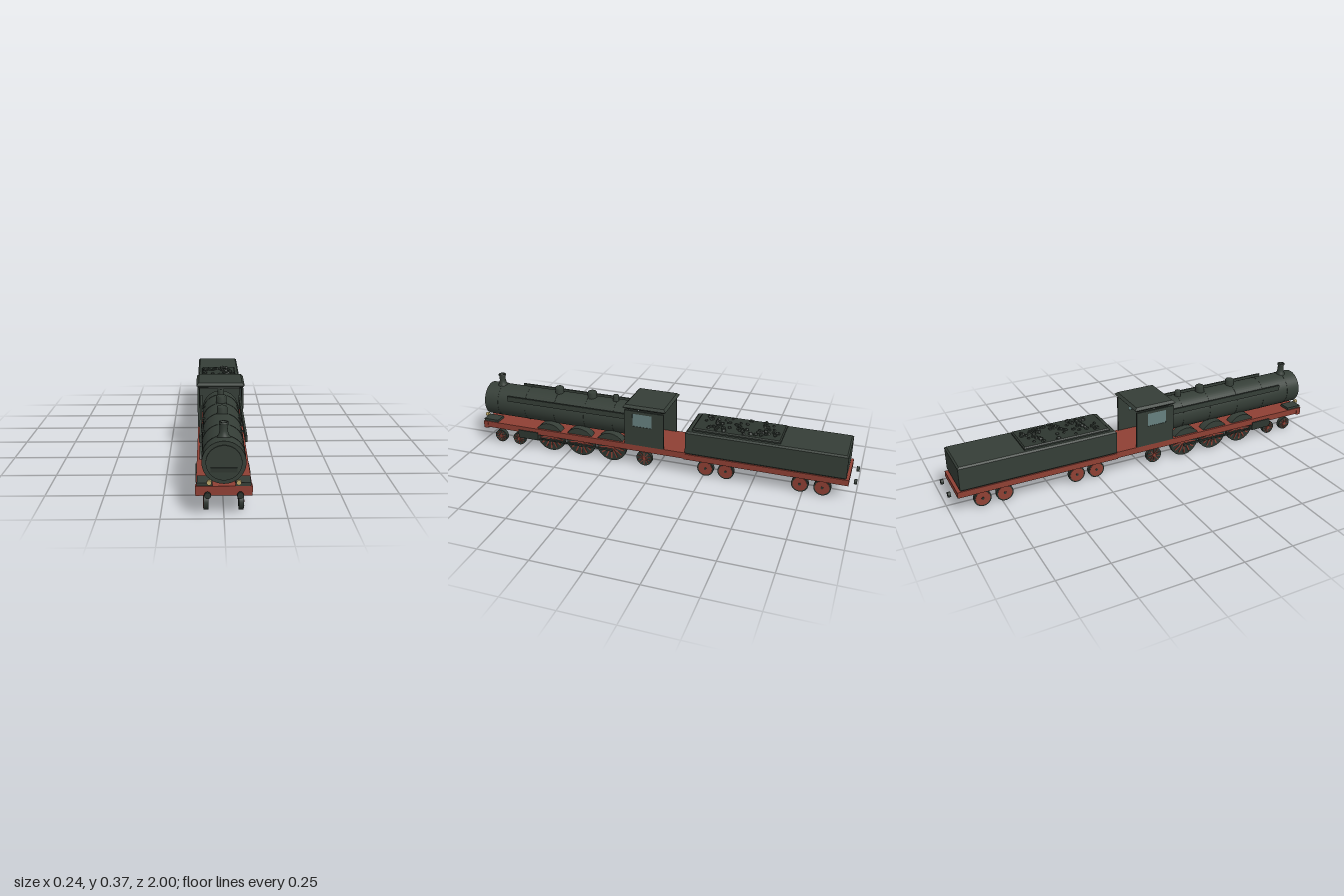
import * as THREE from 'three';

const mat = (name, color) => {
  const m = new THREE.MeshStandardMaterial({ color });
  m.name = name;
  return m;
};

export function createModel() {
  const root = new THREE.Group();
  root.name = 'steamLocomotive';
  const dark = mat('dark green paint', 0x353e37);
  const black = mat('dark iron', 0x2e3630);
  const red = mat('frame red', 0x8f4034);
  const glass = mat('window glass', 0x66807f);
  const brass = mat('brass lamp', 0xb9a468);

  const add = (name, geo, m, x = 0, y = 0, z = 0, parent = root) => {
    const mesh = new THREE.Mesh(geo, m);
    mesh.name = name;
    mesh.position.set(x, y, z);
    parent.add(mesh);
    return mesh;
  };
  // box given by its limits
  const box = (name, m, x0, x1, y0, y1, z0, z1, parent) =>
    add(name, new THREE.BoxGeometry(x1 - x0, y1 - y0, z1 - z0), m,
      (x0 + x1) / 2, (y0 + y1) / 2, (z0 + z1) / 2, parent);
  const cylZ = (r, len, seg = 40) => new THREE.CylinderGeometry(r, r, len, seg).rotateX(Math.PI / 2);
  const cylX = (r, len, seg = 36) => new THREE.CylinderGeometry(r, r, len, seg).rotateZ(Math.PI / 2);
  // box with chamfered edges all round
  const bevelBox = (w, h, d, b) => {
    const s = new THREE.Shape();
    const x = w / 2 - b, z = d / 2 - b;
    s.moveTo(-x, -z).lineTo(x, -z).lineTo(x, z).lineTo(-x, z).closePath();
    return new THREE.ExtrudeGeometry(s, { depth: h - 2 * b, bevelSize: b, bevelThickness: b, bevelSegments: 1 })
      .translate(0, 0, -(h - 2 * b) / 2).rotateX(Math.PI / 2);
  };

  // frames and front beam
  box('locomotiveFrame', red, -0.11, 0.11, 0.097, 0.13, -0.17, 0.975);
  box('frontBeam', red, -0.112, 0.112, 0.091, 0.13, 0.955, 0.98);
  box('tenderFrame', red, -0.112, 0.112, 0.094, 0.124, -0.965, -0.155);

  // boiler, smokebox door and bands
  const by = 0.225;
  add('boiler', cylZ(0.087, 0.815, 48), dark, 0, by, 0.5675);
  add('smokeboxDoor', cylZ(0.071, 0.006, 48), dark, 0, by, 0.977);
  box('doorPlate', black, -0.052, 0.052, 0.188, 0.207, 0.978, 0.984);
  for (const z of [0.24, 0.4, 0.57, 0.74, 0.9]) add('boilerBand', cylZ(0.0882, 0.006, 48), dark, 0, by, z);

  // chimney and domes
  const chimney = [[0.03, 0.295], [0.027, 0.308], [0.02, 0.318], [0.016, 0.335], [0.0155, 0.361],
    [0.019, 0.362], [0.019, 0.37], [0.013, 0.37], [0.012, 0.345], [0, 0.345]];
  add('chimney', new THREE.LatheGeometry(chimney.map(p => new THREE.Vector2(...p)), 28), dark, 0, 0, 0.905)
    .material.side = THREE.DoubleSide;
  for (const [z, r, top] of [[0.567, 0.023, 0.343], [0.38, 0.024, 0.343], [0.247, 0.016, 0.341]]) {
    const p = [[r * 1.1, 0.295], [r, 0.313], [r, top - 0.005], [r * 0.85, top], [0, top]];
    add('steamDome', new THREE.LatheGeometry(p.map(q => new THREE.Vector2(...q)), 24), dark, 0, 0, z);
  }

  // wheel lying on the x axis, outer face towards +x
  const wheel = (name, r, spokes, solidRed) => {
    const g = new THREE.Group();
    g.name = name;
    add('wheelBody', cylX(r, 0.02), black, 0, 0, 0, g);
    if (solidRed) {
      add('wheelFace', cylX(r * 0.84, 0.023), red, 0, 0, 0, g);
      add('hub', cylX(r * 0.16, 0.027, 16), black, 0, 0, 0, g);
    } else {
      for (let i = 0; i < spokes; i++) {
        const s = add('spoke', new THREE.BoxGeometry(0.003, r * 0.8, r * 0.09).translate(0, r * 0.45, 0), red, 0.0105, 0, 0, g);
        s.rotation.x = (i / spokes) * Math.PI * 2;
      }
      add('hub', cylX(r * 0.2, 0.004, 20), red, 0.011, 0, 0, g);
    }
    return g;
  };

  const wheels = [['leadingWheel', 0.9, 0.035, 10], ['leadingWheel', 0.79, 0.035, 10],
    ['drivingWheel', 0.595, 0.082, 14], ['drivingWheel', 0.42, 0.082, 14], ['drivingWheel', 0.247, 0.082, 14],
    ['trailingWheel', 0.067, 0.042, 10],
    ...[-0.26, -0.365, -0.735, -0.843].map(z => ['tenderWheel', z, 0.042, 0])];

  for (const s of [1, -1]) {
    const side = new THREE.Group();
    side.name = s > 0 ? 'leftSide' : 'rightSide';
    side.rotation.y = s > 0 ? 0 : Math.PI;
    root.add(side);
    // the right half is the left half turned round, so z flips with it
    const Z = z => s * z;
    const sbox = (name, m, x0, x1, y0, y1, z0, z1) =>
      box(name, m, x0, x1, y0, y1, Math.min(Z(z0), Z(z1)), Math.max(Z(z0), Z(z1)), side);

    for (const [name, z, r, n] of wheels) {
      const w = wheel(name, r, n, n === 0);
      w.position.set(0.07, r + 0.002, Z(z));
      side.add(w);
      if (name === 'drivingWheel') {
        // splasher arching over the wheel
        const sp = new THREE.Shape();
        const R = 0.084, a = Math.asin((0.128 - r) / R);
        sp.absarc(0, 0, R, a, Math.PI - a, false);
        sp.closePath();
        add('splasher', new THREE.ExtrudeGeometry(sp, { depth: 0.045, bevelEnabled: false, curveSegments: 20 })
          .rotateY(Math.PI / 2), dark, 0.054, r, Z(z), side);
        add('crankPin', cylX(0.009, 0.016, 14), black, 0.086, 0.064, Z(z), side);
      }
    }

    // cylinders and rods
    sbox('steamCylinder', black, 0.085, 0.115, 0.066, 0.11, 0.655, 0.77);
    sbox('couplingRod', black, 0.084, 0.09, 0.059, 0.069, 0.24, 0.605);
    sbox('pistonRod', black, 0.09, 0.096, 0.061, 0.068, 0.42, 0.66);

    // boiler side rail and front step
    sbox('sideRail', dark, 0.088, 0.097, 0.261, 0.289, 0.155, 0.83);
    for (const z of [0.3, 0.5, 0.7]) sbox('railBracket', dark, 0.072, 0.09, 0.265, 0.271, z - 0.006, z + 0.006);
    sbox('frontStep', dark, 0.045, 0.106, 0.13, 0.143, 0.895, 0.977);

    // cab wall with window opening
    const wall = new THREE.Shape();
    const rect = (p, z0, z1, y0, y1) =>
      p.moveTo(Z(z0), y0).lineTo(Z(z1), y0).lineTo(Z(z1), y1).lineTo(Z(z0), y1).closePath();
    rect(wall, -0.048, 0.16, 0.13, 0.32);
    const hole = new THREE.Path();
    rect(hole, 0.014, 0.116, 0.236, 0.305);
    wall.holes.push(hole);
    add('cabWall', new THREE.ExtrudeGeometry(wall, { depth: 0.01, bevelEnabled: false })
      .rotateY(-Math.PI / 2), dark, 0.112, 0, 0, side);
    sbox('cabWindow', glass, 0.104, 0.11, 0.236, 0.305, 0.014, 0.116);

    // lamps and buffers
    add('lamp', cylZ(0.01, 0.014, 16), brass, 0.058, 0.147, Z(0.983), side);
    add('frontBuffer', cylZ(0.013, 0.012, 20), black, 0.064, 0.098, Z(0.994), side);
    add('frontBufferShaft', cylZ(0.006, 0.015, 12), black, 0.064, 0.098, Z(0.985), side);
    add('rearBuffer', cylZ(0.013, 0.014, 20), black, 0.064, 0.098, Z(-0.993), side);
  }

  // cab roof
  add('cabRoof', bevelBox(0.236, 0.024, 0.226, 0.0118), dark, 0, 0.337, 0.053);

  // tender body and coal load
  add('tenderBody', bevelBox(0.234, 0.126, 0.79, 0.008), dark, 0, 0.189, -0.557);
  add('coalBed', bevelBox(0.19, 0.02, 0.44, 0.006), black, 0, 0.255, -0.41);
  let seed = 7;
  const rnd = () => (seed = (seed * 16807) % 2147483647) / 2147483647;
  for (let i = 0; i < 70; i++) {
    const lump = add('coalLump', new THREE.DodecahedronGeometry(0.008 + rnd() * 0.005), black,
      (rnd() - 0.5) * 0.155, 0.264 + rnd() * 0.003, -0.41 + (rnd() - 0.5) * 0.4);
    lump.rotation.set(rnd() * 3, rnd() * 3, rnd() * 3);
    lump.scale.y = 0.8;
  }
  return root;
}
